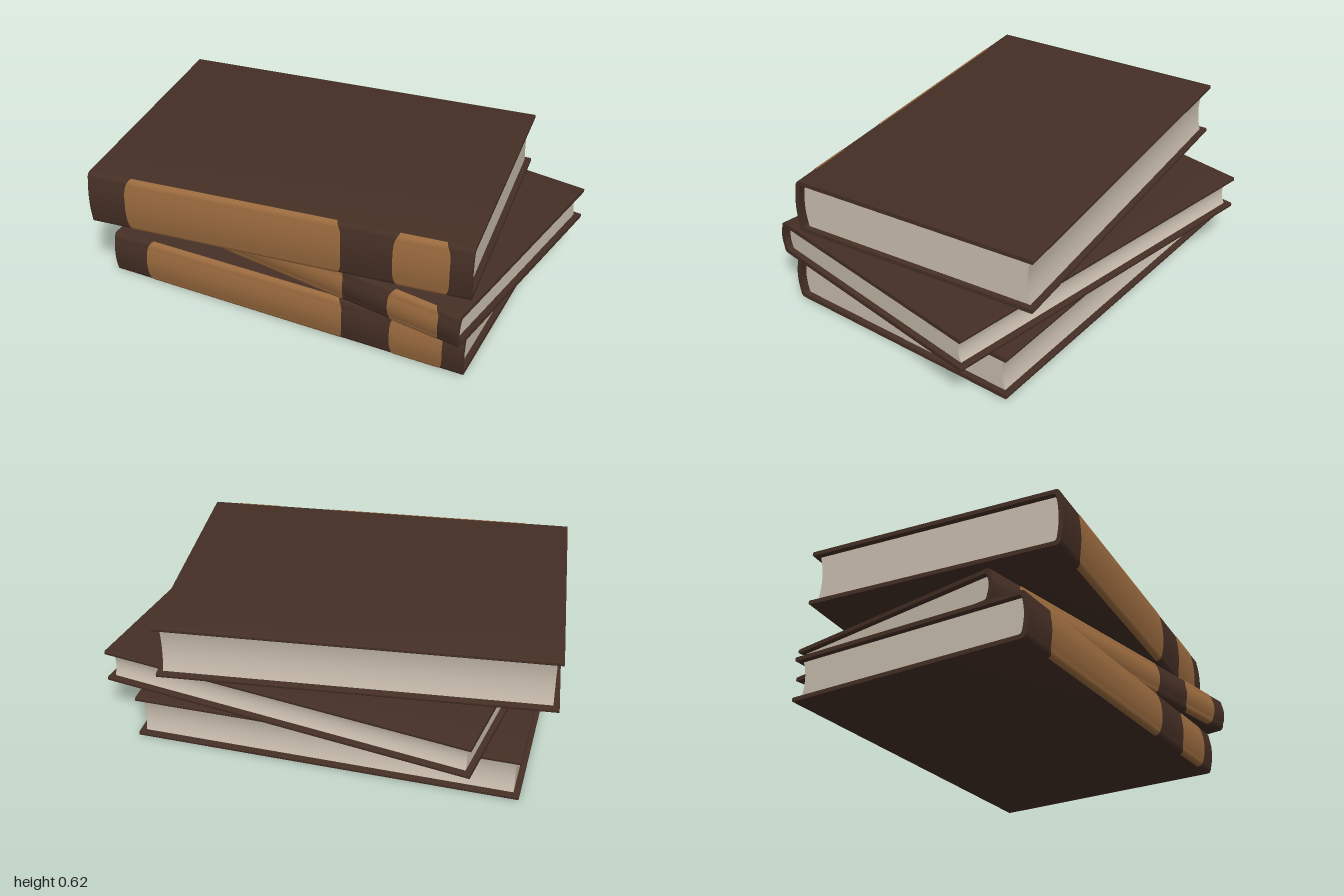
import * as THREE from 'three';
import { toCreasedNormals } from 'three/addons/utils/BufferGeometryUtils.js';

const LENGTH = 1.715; // along the spine
const D = 0.585;      // half depth of a cover
const T = 0.019;      // cover thickness
const INSET = 0.026;  // pages set back from the cover ends

const material = (name, color) => {
  const m = new THREE.MeshStandardMaterial({ color });
  m.name = name;
  return m;
};

// Extrudes a (depth, height) section along x, centred
function extrudeAlongX(shape, length) {
  const geo = new THREE.ExtrudeGeometry(shape, { depth: length, bevelEnabled: false, curveSegments: 10 });
  geo.translate(0, 0, -length / 2).rotateY(-Math.PI / 2);
  return toCreasedNormals(geo, 0.6);
}

// Outer curve of the rounded spine, top to bottom
function spineCurve(path, h) {
  path.quadraticCurveTo(D - 0.012, h, D - 0.01, h - 0.028);
  path.quadraticCurveTo(D + 0.01, h / 2, D - 0.01, 0.028);
  path.quadraticCurveTo(D - 0.012, 0, D - 0.032, 0);
  return path;
}

// C-shaped section: two boards joined by the spine
function coverShape(h) {
  const s = new THREE.Shape();
  const r = 0.007;
  s.moveTo(-D + r, h);
  s.lineTo(D - 0.032, h);
  spineCurve(s, h);
  s.lineTo(-D + r, 0);
  s.quadraticCurveTo(-D, 0, -D, r);
  s.lineTo(-D, T - r);
  s.quadraticCurveTo(-D, T, -D + r, T);
  s.lineTo(D - 0.045, T);
  s.quadraticCurveTo(D - 0.03, T, D - 0.028, T + 0.02);
  s.quadraticCurveTo(D - 0.012, h / 2, D - 0.028, h - T - 0.02);
  s.quadraticCurveTo(D - 0.03, h - T, D - 0.045, h - T);
  s.lineTo(-D + r, h - T);
  s.quadraticCurveTo(-D, h - T, -D, h - T + r);
  s.lineTo(-D, h - r);
  s.quadraticCurveTo(-D, h, -D + r, h);
  return s;
}

// Page block: hollow fore edge, rounded back
function pagesShape(h) {
  const s = new THREE.Shape();
  const back = -D + 0.026, front = D - 0.042;
  s.moveTo(back, h - T);
  s.lineTo(front, h - T);
  s.quadraticCurveTo(front + 0.028, h / 2, front, T);
  s.lineTo(back, T);
  s.quadraticCurveTo(back + 0.03, h / 2, back, h - T);
  return s;
}

// Thin coloured panel that follows the spine, its corners drawn in
function spinePanel(h, x0, x1) {
  const path = spineCurve(new THREE.Path().moveTo(D - 0.032, h), h);
  const n = 40, pos = [], index = [];
  for (let i = 0; i <= n; i++) {
    const p = path.getPoint(i / n), t = path.getTangent(i / n);
    const taper = 0.022 * Math.pow(Math.abs(2 * p.y / h - 1), 5);
    const y = p.y + t.x * 0.002, z = p.x - t.y * 0.002;
    pos.push(x0 + taper, y, z, x1 - taper, y, z);
    if (i < n) {
      const a = 2 * i;
      index.push(a, a + 2, a + 1, a + 1, a + 2, a + 3);
    }
  }
  const geo = new THREE.BufferGeometry();
  geo.setAttribute('position', new THREE.Float32BufferAttribute(pos, 3));
  geo.setIndex(index);
  geo.computeVertexNormals();
  return geo;
}

export function createModel() {
  const leather = material('dark brown leather', 0x452f25);
  const tan = material('tan leather', 0x9a6a3e);
  const paper = material('paper', 0xc9bdae);

  const model = new THREE.Group();
  model.name = 'bookStack';

  const add = (group, name, geo, mat) => {
    const mesh = new THREE.Mesh(geo, mat);
    mesh.name = name;
    group.add(mesh);
  };

  // Three books, each turned a little on the pile
  const books = [
    { name: 'bottomBook', x: 0, z: -0.043, y: 0, h: 0.208, turn: 0.058 },
    { name: 'middleBook', x: 0.09, z: -0.09, y: 0.208, h: 0.158, turn: -0.091 },
    { name: 'topBook', x: -0.055, z: 0.02, y: 0.366, h: 0.254, turn: 0.17 },
  ];
  for (const { name, x, y, z, h, turn } of books) {
    const book = new THREE.Group();
    book.name = name;
    add(book, 'cover', extrudeAlongX(coverShape(h), LENGTH), leather);
    add(book, 'pages', extrudeAlongX(pagesShape(h), LENGTH - 2 * INSET), paper);
    add(book, 'longSpinePanel', spinePanel(h, -0.682, 0.302), tan);
    add(book, 'shortSpinePanel', spinePanel(h, 0.525, 0.765), tan);
    book.position.set(x, y, z);
    book.rotation.y = turn;
    model.add(book);
  }
  return model;
}
